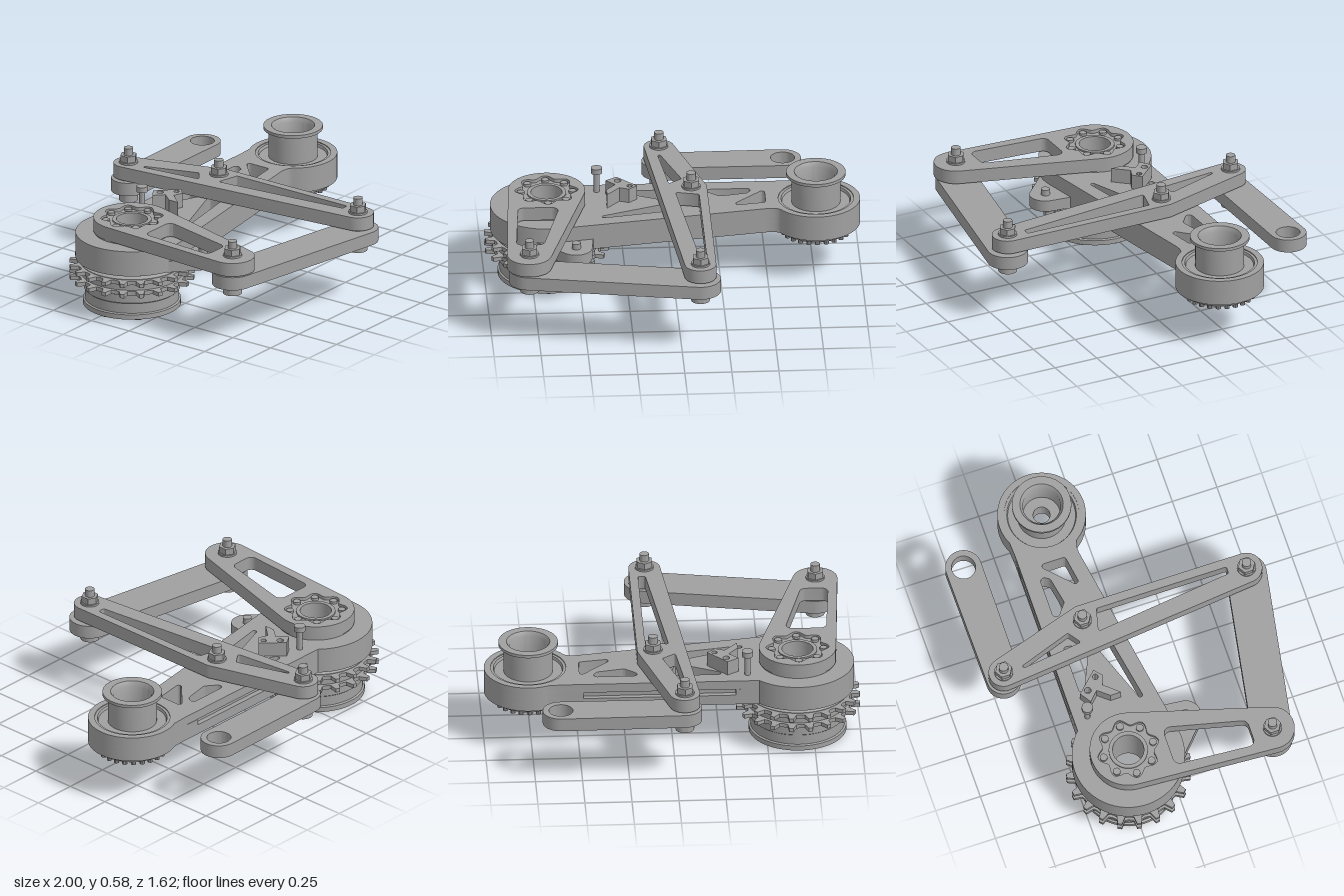
import * as THREE from 'three';
import { toCreasedNormals } from 'three/addons/utils/BufferGeometryUtils.js';

export function createModel() {
  const model = new THREE.Group();
  const metal = new THREE.MeshStandardMaterial({ color: 0xa0a0a0 });
  metal.name = 'grey metal';

  // Joint positions as [x, z]
  const drum = [-0.668, -0.228], pulley = [0.763, -0.228];
  const backPin = [-0.045, -0.715], midPin = [0.1, -0.225];
  const frontPin = [0.1, 0.695], leftPin = [-0.8, 0.535], eye = [0.613, -0.716];

  const add = (name, geo, x = 0, y = 0, z = 0) => {
    const mesh = new THREE.Mesh(toCreasedNormals(geo, 0.6), metal);
    mesh.name = name;
    mesh.position.set(x, y, z);
    model.add(mesh);
    return mesh;
  };
  // Horizontal plate; shapes are drawn in (x, -z)
  const slab = (name, points, y0, y1, holes = []) => {
    const shape = new THREE.Shape(points);
    shape.holes = holes.map((h) => new THREE.Path(h));
    const geo = new THREE.ExtrudeGeometry(shape, { depth: y1 - y0, bevelEnabled: false });
    geo.rotateX(-Math.PI / 2);
    return add(name, geo, 0, y0, 0);
  };
  const cyl = (name, [x, z], r, y0, y1, sides = 32) =>
    add(name, new THREE.CylinderGeometry(r, r, y1 - y0, sides), x, (y0 + y1) / 2, z);
  const lathe = (name, [x, z], profile) =>
    add(name, new THREE.LatheGeometry(profile.map((p) => new THREE.Vector2(...p)), 64), x, 0, z);
  const around = ([x, z], r, n, fn) => {
    for (let i = 0; i < n; i++) {
      const a = (i / n) * Math.PI * 2;
      fn([x + r * Math.cos(a), z - r * Math.sin(a)], a);
    }
  };
  const arc = ([x, z], r, a0 = 0, a1 = 360, n = 48) =>
    Array.from({ length: n }, (_, i) => {
      const a = THREE.MathUtils.degToRad(a0 + ((a1 - a0) * i) / (a1 - a0 === 360 ? n : n - 1));
      return new THREE.Vector2(x + r * Math.cos(a), -z + r * Math.sin(a));
    });
  // Outline of a belt stretched around circles
  const hull = (...circles) => {
    const pts = circles.flatMap(([c, r]) => arc(c, r)).sort((a, b) => a.x - b.x || a.y - b.y);
    const half = (list) => {
      const out = [];
      for (const p of list) {
        while (out.length > 1) {
          const a = out[out.length - 2], b = out[out.length - 1];
          if ((b.x - a.x) * (p.y - a.y) - (b.y - a.y) * (p.x - a.x) > 1e-9) break;
          out.pop();
        }
        out.push(p);
      }
      return out.slice(0, -1);
    };
    return [...half(pts), ...half([...pts].reverse())];
  };
  const rounded = (r, ...corners) => hull(...corners.map((c) => [c, r]));

  // Main arm in three layers; the middle one is notched to leave a slot in the back
  const armOutline = (notched) => [
    ...arc(drum, 0.3, 45, 279, 60),
    ...new THREE.QuadraticBezierCurve(new THREE.Vector2(0.48, 0.107),
      new THREE.Vector2(0.55, 0.118), new THREE.Vector2(0.57, 0.093)).getPoints(8).slice(0, -1),
    ...arc(pulley, 0.235, -145, 115, 60),
    new THREE.Vector2(0.58, 0.437),
    ...(notched ? [[0.48, 0.44], [0.48, 0.41], [-0.33, 0.41], [-0.33, 0.44]] : [])
      .map((p) => new THREE.Vector2(...p)),
    new THREE.Vector2(-0.456, 0.44),
  ];
  const armHoles = [
    arc(drum, 0.083), arc(pulley, 0.2),
    rounded(0.015, [-0.24, -0.345], [0.0, -0.345], [-0.03, -0.25]),
    rounded(0.012, [-0.37, -0.06], [-0.03, -0.185], [-0.01, -0.125]),
    rounded(0.02, [0.21, -0.335], [0.4, -0.335], [0.39, -0.32], [0.26, -0.295]),
    rounded(0.015, [0.35, -0.18], [0.48, -0.305], [0.48, -0.2]),
  ];
  slab('armBottom', armOutline(false), 0.27, 0.325, armHoles);
  slab('armMiddle', armOutline(true), 0.325, 0.36, armHoles);
  slab('armTop', armOutline(false), 0.36, 0.41, armHoles);

  // Hollow drive drum
  lathe('drum', drum, [
    [0.185, 0.008], [0.26, 0.008], [0.26, 0.035], [0.25, 0.04], [0.25, 0.095], [0.256, 0.1],
    [0.256, 0.145], [0.27, 0.15], [0.27, 0.24], [0.25, 0.25], [0.25, 0.272], [0.083, 0.272],
    [0.083, 0.2], [0.185, 0.2], [0.185, 0.008],
  ]);
  around(drum, 0.222, 8, (p) => cyl('drumBolt', p, 0.026, 0, 0.02, 16));

  // Two sprockets
  const teeth = [];
  for (let i = 0; i < 20; i++) {
    for (const [f, r] of [[0, 0.285], [0.28, 0.29], [0.42, 0.333], [0.64, 0.333], [0.78, 0.29]]) {
      const a = ((i + f) / 20) * Math.PI * 2;
      teeth.push(new THREE.Vector2(drum[0] + r * Math.cos(a), -drum[1] + r * Math.sin(a)));
    }
  }
  for (const y of [0.168, 0.226]) slab('sprocket', teeth, y - 0.011, y + 0.011, [arc(drum, 0.2)]);

  // Ear with its screw beside the drum
  slab('ear', hull([drum, 0.26], [[-0.53, 0.14], 0.085]), 0.265, 0.328, [arc(drum, 0.2)]);
  cyl('earScrew', [-0.53, 0.14], 0.024, 0.32, 0.36, 20);

  // Pulley with flanged hollow spool
  lathe('pulley', pulley, [
    [0.1, 0.225], [0.165, 0.225], [0.165, 0.245], [0.207, 0.25], [0.207, 0.27], [0.2, 0.272],
    [0.2, 0.405], [0.185, 0.405], [0.18, 0.39], [0.13, 0.39], [0.13, 0.545], [0.158, 0.548],
    [0.158, 0.565], [0.115, 0.565], [0.1, 0.54], [0.1, 0.4], [0.045, 0.4], [0.045, 0.3],
    [0.1, 0.3], [0.1, 0.225],
  ]);
  around(pulley, 0.178, 24, (p) => cyl('pulleyTooth', p, 0.014, 0.222, 0.255, 10));
  around(pulley, 0.133, 8, (p) => cyl('pulleyBolt', p, 0.016, 0.217, 0.23, 14));

  // Crank link with scalloped hub recess
  const crank = hull([drum, 0.205], [leftPin, 0.118]);
  const crankSlot = rounded(0.035, [-0.798, 0.015], [-0.655, 0.015], [-0.745, 0.385], [-0.825, 0.385]);
  const scallop = arc([0, 0], 1, 0, 360, 96).map((p, i) => {
    const r = 0.152 + 0.016 * Math.cos((i / 96) * Math.PI * 16);
    return new THREE.Vector2(drum[0] + p.x * r, -drum[1] + p.y * r);
  });
  slab('crankLower', crank, 0.418, 0.474, [arc(drum, 0.083), crankSlot]);
  slab('crankUpper', crank, 0.474, 0.493, [scallop, crankSlot]);
  slab('crankSpacer', arc(drum, 0.2), 0.41, 0.418, [arc(drum, 0.083)]);
  around(drum, 0.138, 8, (p) => cyl('hubScrew', p, 0.02, 0.47, 0.488, 16));
  slab('hubRing', arc(drum, 0.104), 0.474, 0.482, [arc(drum, 0.083)]);

  // Front and back links, each with a pocket underneath
  const pocketLink = (name, outline, pocket, holes = []) => {
    slab(name + 'Lower', outline, 0.335, 0.388, [pocket, ...holes]);
    slab(name + 'Upper', outline, 0.388, 0.408, holes);
  };
  pocketLink('frontLink', hull([leftPin, 0.108], [frontPin, 0.108]),
    rounded(0.045, [-0.62, 0.568], [-0.08, 0.662]));
  pocketLink('backLink', hull([backPin, 0.092], [[0.56, -0.716], 0.08], [eye, 0.097]),
    rounded(0.04, [0.11, -0.716], [0.45, -0.716]), [arc(eye, 0.064)]);

  // Triangular rocker with two openings
  slab('rocker', hull([backPin, 0.08], [midPin, 0.084], [frontPin, 0.084]), 0.418, 0.493, [
    rounded(0.008, [-0.048, -0.6], [0.045, -0.325], [-0.01, -0.285]),
    rounded(0.01, [0.025, -0.15], [0.085, -0.125], [0.128, -0.125], [0.128, 0.585], [0.108, 0.585]),
  ]);

  // Pin bolts: head and spacer below, washer, nut and stud above
  for (const pin of [backPin, midPin, frontPin, leftPin]) {
    const low = pin === midPin ? 0.26 : 0.28;
    cyl('pinHead', pin, 0.05, low, 0.34);
    cyl('pinSpacer', pin, 0.062, 0.4, 0.425);
    cyl('pinWasher', pin, 0.05, 0.493, 0.503);
    cyl('pinNut', pin, 0.046, 0.5, 0.538, 6);
    cyl('pinStud', pin, 0.025, 0.53, 0.577, 24);
  }

  // Sensor block with clamp screw
  const block = [[-0.35, -0.33], [-0.29, -0.37], [-0.185, -0.26], [-0.23, -0.22], [-0.28, -0.24],
    [-0.35, -0.16], [-0.35, -0.22], [-0.3, -0.28]];
  slab('sensorBlock', block.map(([x, z]) => new THREE.Vector2(x, -z)), 0.41, 0.49,
    [arc([-0.285, -0.325], 0.018), arc([-0.225, -0.262], 0.015)]);
  cyl('clampScrew', [-0.395, -0.365], 0.016, 0.41, 0.53, 16);
  cyl('clampScrewHead', [-0.395, -0.365], 0.03, 0.52, 0.55, 20);

  return model;
}
